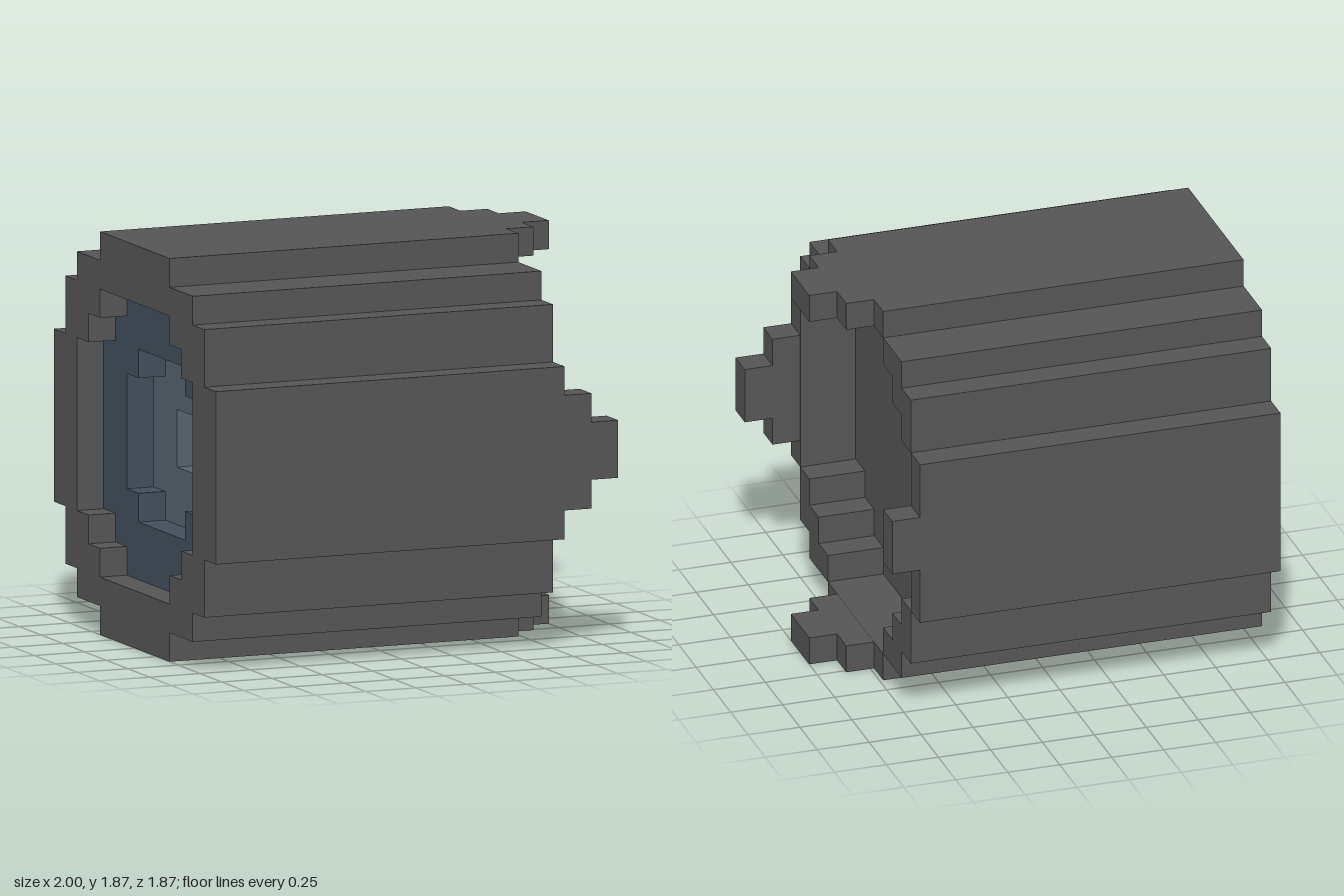
import * as THREE from 'three';

const U = 2 / 15; // one block

// Stepped round outline from [halfWidth, halfHeight] steps of one quadrant
function outline(steps, scale = 1) {
  const q = [];
  steps.forEach(([w, h], i) => {
    if (i) q.push([w, steps[i - 1][1]]);
    q.push([w, h]);
  });
  const r = [...q].reverse();
  return [
    ...q,
    ...r.map(([x, y]) => [-x, y]),
    ...q.map(([x, y]) => [-x, -y]),
    ...r.map(([x, y]) => [x, -y]),
  ].map(([x, y]) => new THREE.Vector2(x * scale, y * scale));
}

const OUTER = [[7, 3], [6, 5], [5, 6], [3, 7]];
const REAR_HOLLOW = [[6, 3], [5, 4], [4, 5], [3, 6]];
const MOUTH = [[5, 3], [4, 4], [3, 5]];
const LENS_HOLE = [[3, 2], [2, 3]];
const PUPIL = [[1, 1]];

export function createModel() {
  const model = new THREE.Group();
  const mat = (color) => new THREE.MeshStandardMaterial({ color, flatShading: true });
  const grey = mat(0x555555);

  // Slice of the barrel between two x positions, in blocks
  function slice(name, material, x0, x1, steps, hole, holeScale = 1) {
    const shape = new THREE.Shape(outline(steps));
    if (hole) shape.holes.push(new THREE.Path(outline(hole, holeScale)));
    const geo = new THREE.ExtrudeGeometry(shape, { depth: x1 - x0, bevelEnabled: false });
    geo.rotateY(Math.PI / 2).translate(x0 - 7.5, 7, 0).scale(U, U, U);
    const mesh = new THREE.Mesh(geo, material);
    mesh.name = name;
    model.add(mesh);
  }

  // Barrel: lens mouth, solid core and hollow rear
  slice('mouthSleeve', grey, 0, 4, OUTER, MOUTH);
  slice('core', grey, 4, 11, OUTER);
  slice('rearSleeve', grey, 11, 13, OUTER, REAR_HOLLOW, 0.999); // keeps touching corners apart

  // Lens sunk in three steps, lighter towards the middle
  slice('outerLensRing', mat(0x414e5c), 1, 2, MOUTH, LENS_HOLE);
  slice('innerLensRing', mat(0x55636f), 2, 3, MOUTH, PUPIL);
  slice('lensCentre', mat(0x687987), 3, 4, MOUTH);

  // Stepped prongs on the rear rim; each half width is one step outwards
  function prong(name, angle, halfWidths) {
    const group = new THREE.Group();
    group.name = name;
    halfWidths.forEach((w, i) => {
      const step = new THREE.Mesh(new THREE.BoxGeometry(U, U, 2 * w * U), grey);
      step.name = 'prongStep';
      step.position.set((6 + i) * U, 6.5 * U, 0);
      group.add(step);
    });
    group.rotation.x = angle;
    group.position.y = 7 * U;
    model.add(group);
  }
  prong('topProng', 0, [2, 1]);
  prong('frontProng', Math.PI / 2, [2, 1]);
  prong('bottomProng', Math.PI, [2, 1]);
  prong('backProng', -Math.PI / 2, [1]);

  return model;
}
